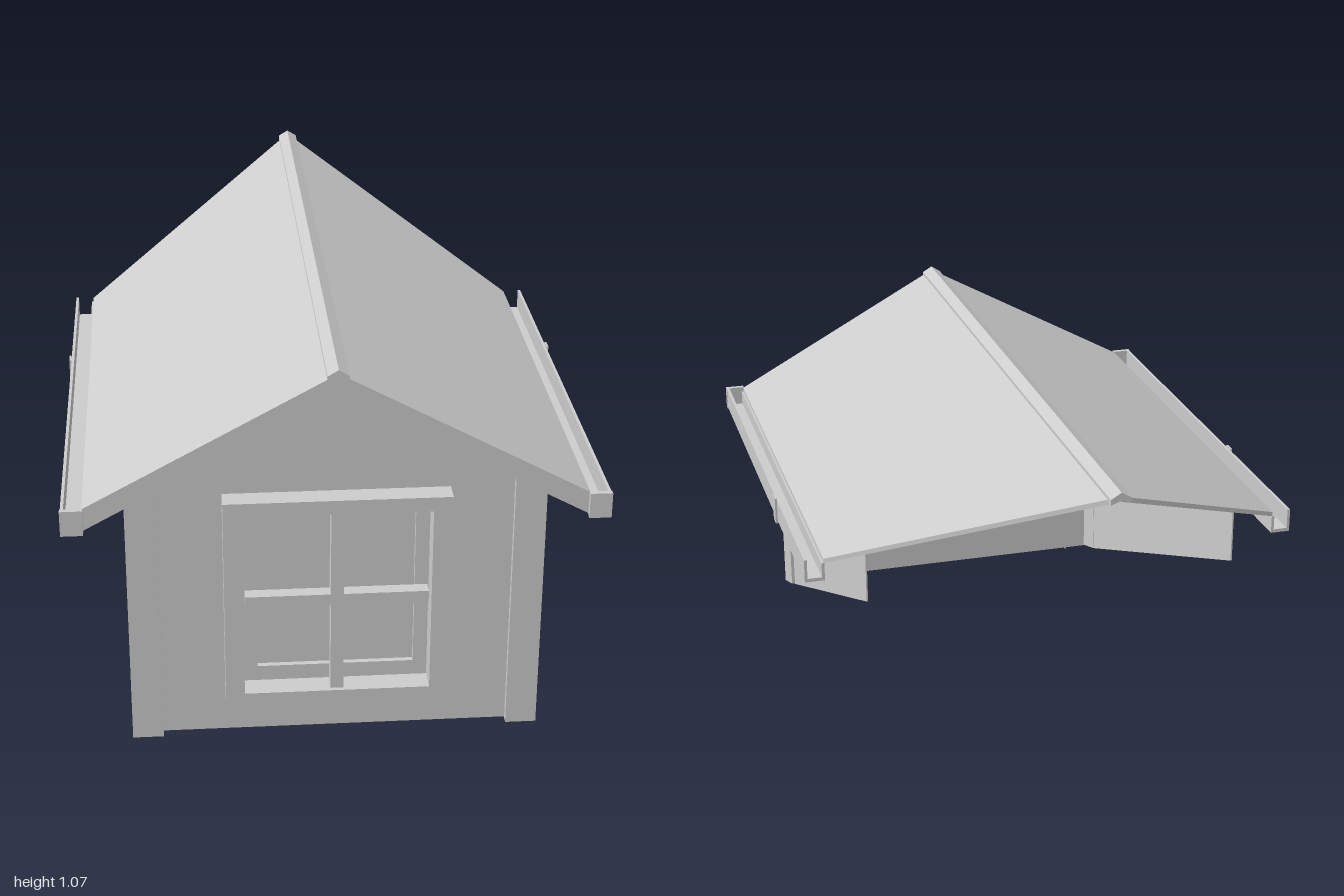
import * as THREE from 'three';

const material = new THREE.MeshStandardMaterial({ color: 0xcccccc, flatShading: true, side: THREE.DoubleSide });

const shapeOf = (points) => new THREE.Shape(points.map(([a, b]) => new THREE.Vector2(a, b)));
const rect = (x0, x1, y0, y1) => [[x0, y0], [x1, y0], [x1, y1], [x0, y1]];

export function createModel() {
  const model = new THREE.Group();
  const add = (name, geometry, parent = model) => {
    const mesh = new THREE.Mesh(geometry, material);
    mesh.name = name;
    parent.add(mesh);
    return mesh;
  };
  const group = (name) => {
    const part = new THREE.Group();
    part.name = name;
    model.add(part);
    return part;
  };
  const box = (name, x0, x1, y0, y1, z0, z1, parent) => add(name,
    new THREE.BoxGeometry(x1 - x0, y1 - y0, z1 - z0)
      .translate((x0 + x1) / 2, (y0 + y1) / 2, (z0 + z1) / 2), parent);
  // outline in x and y, running from z0 to z1
  const alongZ = (outline, z0, z1, hole) => {
    const shape = shapeOf(outline);
    if (hole) shape.holes.push(shapeOf(hole));
    return new THREE.ExtrudeGeometry(shape, { depth: z1 - z0, bevelEnabled: false }).translate(0, 0, z0);
  };
  // outline in z and y, running from x0 to x1
  const alongX = (outline, x0, x1) =>
    new THREE.ExtrudeGeometry(shapeOf(outline), { depth: x1 - x0, bevelEnabled: false })
      .rotateY(-Math.PI / 2).translate(x1, 0, 0);

  const underside = (x) => 1.005 - 0.545 * Math.abs(x);

  // gabled front wall with the window opening
  const opening = rect(-0.245, 0.245, 0.155, 0.68);
  add('frontWall', alongZ([
    [-0.53, 0.01], [0.53, 0.01], [0.53, underside(0.53)], [0, underside(0)], [-0.53, underside(0.53)],
  ], 0.936, 0.94, opening));

  // window: casing, sash, pane and glazing bars
  const win = group('window');
  add('windowCasing', alongZ(rect(-0.295, 0.295, 0.118, 0.72), 0.925, 1, opening), win);
  add('windowSash', alongZ(opening, 0.91, 0.935, rect(-0.208, 0.208, 0.198, 0.645)), win);
  box('pane', -0.215, 0.215, 0.19, 0.65, 0.908, 0.914, win);
  box('uprightBar', -0.017, 0.017, 0.155, 0.68, 0.945, 0.988, win);
  box('crossBar', -0.24, 0.24, 0.402, 0.437, 0.945, 0.982, win);

  // hollow behind the window, with a sloping floor
  add('windowRecess', alongX([[0.92, 0.155], [0.92, 0.785], [-0.165, 0.785], [-0.165, 0.675]], -0.295, 0.295));

  for (const [side, s, gutterBack, wallBack] of [['left', 1, -0.41, -0.415], ['right', -1, -0.45, -0.44]]) {
    const span = (a, b) => (s > 0 ? [a, b] : [-b, -a]);

    // thin side wall, cut along the slope of the main roof
    add(side + 'SideWall', alongX([
      [0.93, 0.015], [0.82, 0.05], [wallBack, 0.57], [wallBack, 0.76], [0.93, 0.76],
    ], ...span(0.531, 0.535)));

    // corner post: hollow, with front, outer and inner boards
    const post = group(side + 'CornerPost');
    add('postFront', alongZ([
      [0.462, 0.003], [0.545, 0.003], [0.545, underside(0.545)], [0.462, underside(0.462)],
    ].map(([x, y]) => [s * x, y]), 0.953, 0.957), post);
    add('postOuter', alongX([
      [0.957, 0.003], [0.957, 0.735], [0.82, 0.735], [0.82, 0.052],
    ], ...span(0.541, 0.545)), post);
    box('postInner', ...span(0.462, 0.466), 0.005, underside(0.466), 0.936, 0.955, post);
    box('postBack', ...span(0.53, 0.545), 0.052, 0.735, 0.82, 0.824, post);

    // thin roof sheet, its back edge raked from ridge to eave
    const sheet = alongZ([
      [0, 1.052], [s * 0.65, 0.7], [s * 0.65, 0.713], [0, 1.066],
    ], -1, 0.985);
    const p = sheet.attributes.position;
    for (let i = 0; i < p.count; i++) {
      if (p.getZ(i) < 0) p.setZ(i, -1 + Math.abs(p.getX(i)) * (1 + gutterBack) / 0.65);
    }
    sheet.computeVertexNormals();
    add(side + 'RoofSheet', sheet);

    // deep board under the front edge of the roof
    add(side + 'BargeBoard', alongZ([
      [0, 1.005], [s * 0.65, 0.651], [s * 0.65, 0.711], [0, 1.064],
    ], 0.93, 0.985));

    // open gutter with a front stop and a bracket
    const gutter = group(side + 'Gutter');
    add('gutterTrough', alongZ([
      [0.648, 0.648], [0.704, 0.648], [0.704, 0.715], [0.696, 0.715],
      [0.696, 0.658], [0.656, 0.658], [0.656, 0.7], [0.648, 0.7],
    ].map(([x, y]) => [s * x, y]), gutterBack, 0.99), gutter);
    box('gutterStop', ...span(0.648, 0.706), 0.645, 0.715, 0.985, 1, gutter);
    add('gutterBracket', alongZ([
      [0.648, 0.641], [0.71, 0.641], [0.71, 0.719], [0.704, 0.719], [0.704, 0.648], [0.648, 0.648],
    ].map(([x, y]) => [s * x, y]), 0.02, 0.055), gutter);
  }

  // ridge cap
  add('ridgeCap', alongZ([
    [-0.028, 1.045], [0, 1.055], [0.028, 1.045], [0.028, 1.06], [0, 1.077], [-0.028, 1.06],
  ], -1, 0.987));

  return model;
}
